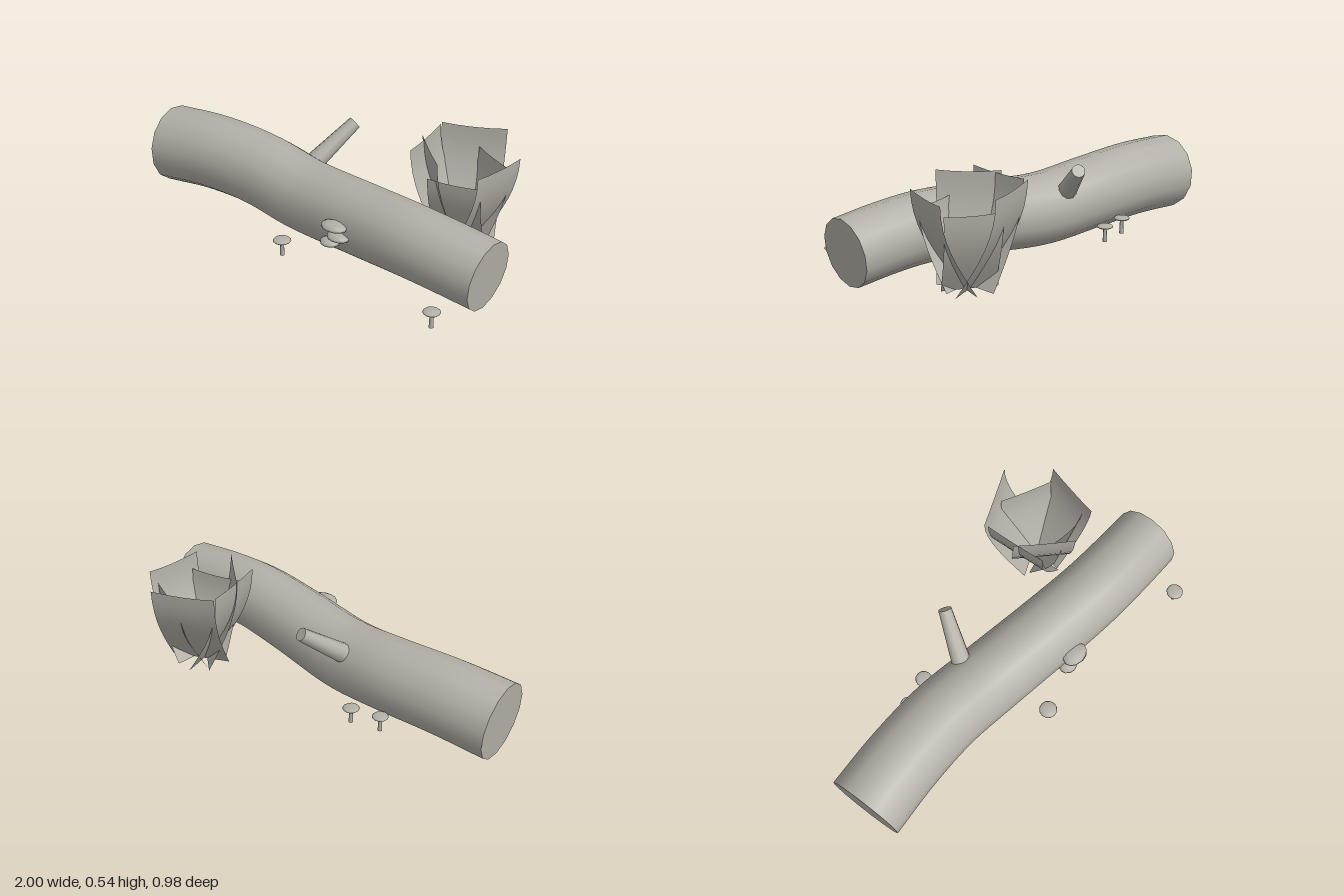
import * as THREE from 'three';

const grey = new THREE.MeshStandardMaterial({ color: 0xb4b0a7 });
grey.name = 'woodGrey';
const sheetGrey = new THREE.MeshStandardMaterial({ color: 0xb4b0a7, side: THREE.DoubleSide });
sheetGrey.name = 'sheetGrey';

const V = (x, y, z) => new THREE.Vector3(x, y, z);

function add(parent, name, geometry, material = grey) {
  const mesh = new THREE.Mesh(geometry, material);
  mesh.name = name;
  parent.add(mesh);
  return mesh;
}

// Flat fan closing one ring of the log
function capGeometry(ring, centre, flip) {
  const pos = [];
  for (let i = 0; i < ring.length - 1; i++) {
    const [a, b] = flip ? [ring[i + 1], ring[i]] : [ring[i], ring[i + 1]];
    pos.push(...centre.toArray(), ...a.toArray(), ...b.toArray());
  }
  const g = new THREE.BufferGeometry();
  g.setAttribute('position', new THREE.Float32BufferAttribute(pos, 3));
  g.computeVertexNormals();
  return g;
}

// Wavy tapered log with flat cut ends
function buildLog(parent) {
  const rows = 32, sides = 14, r0 = 0.192, r1 = 0.168;
  const curve = new THREE.CatmullRomCurve3([
    V(-0.975, 0.2, 0.135), V(-0.7, 0.22, 0.105), V(-0.4, 0.211, 0.09), V(-0.1, 0.184, 0.11),
    V(0.25, 0.205, 0.15), V(0.55, 0.22, 0.177), V(0.75, 0.212, 0.178), V(0.98, 0.19, 0.17),
  ]);
  const g = new THREE.TubeGeometry(curve, rows, 1, sides, false);
  const p = g.attributes.position, v = V(0, 0, 0), rings = [];
  for (let i = 0; i <= rows; i++) {
    const c = curve.getPointAt(i / rows), r = r0 + (r1 - r0) * i / rows, ring = [];
    for (let j = 0; j <= sides; j++) {
      const k = i * (sides + 1) + j;
      v.fromBufferAttribute(p, k).sub(c).multiplyScalar(r).add(c);
      p.setXYZ(k, v.x, v.y, v.z);
      ring.push(v.clone());
    }
    rings.push(ring);
  }
  add(parent, 'logBark', g);
  [0, rows].forEach((i) => {
    const c = curve.getPointAt(i / rows), t = curve.getTangentAt(i / rows);
    if (i === 0) t.negate();
    const [a, b] = rings[i];
    const turn = a.clone().sub(c).cross(b.clone().sub(c)).dot(t);
    add(parent, 'logCutEnd', capGeometry(rings[i], c, turn < 0));
  });
}

// Broken branch rising from the back of the log
function buildBranch(parent) {
  const a = V(-0.165, 0.3, -0.025), b = V(-0.073, 0.463, -0.215);
  const d = b.clone().sub(a);
  const m = add(parent, 'branchStub', new THREE.CylinderGeometry(0.033, 0.048, d.length(), 10));
  m.position.copy(a).add(b).multiplyScalar(0.5);
  m.quaternion.setFromUnitVectors(V(0, 1, 0), d.normalize());
}

// Upright leaf sheet, curving outward from the clump centre
function sheetGeometry(width, height, reach) {
  const g = new THREE.PlaneGeometry(width, 1, 4, 8);
  const p = g.attributes.position;
  for (let i = 0; i < p.count; i++) {
    const x = p.getX(i), t = p.getY(i) + 0.5, edge = Math.abs(x) / (width / 2);
    p.setXYZ(i, x * (0.93 + 0.07 * t), height * t - 0.008 * t * (1 - edge * edge),
      0.02 + (reach - 0.02) * Math.sin(t * Math.PI / 2));
  }
  g.computeVertexNormals();
  return g;
}

export function createModel() {
  const model = new THREE.Group();
  model.name = 'fallenLog';
  buildLog(model);
  buildBranch(model);

  // Shelf fungi on the front of the log
  [[0.247, 0.25, 0.34, 0.07, 0.05], [0.268, 0.2, 0.335, 0.06, 0.047], [0.215, 0.152, 0.33, 0.05, 0.046]]
    .forEach(([x, y, z, rx, rz]) => {
      const m = add(model, 'shelfFungus', new THREE.SphereGeometry(1, 12, 5));
      m.position.set(x, y, z);
      m.scale.set(rx, 0.019, rz);
    });

  // Small mushrooms around the log
  [[-0.01, 0.41, 0.044], [0.88, 0.45, 0.041], [-0.46, -0.1, 0.04], [-0.315, -0.138, 0.041]]
    .forEach(([x, z, r]) => {
      const mushroom = new THREE.Group();
      mushroom.name = 'mushroom';
      mushroom.position.set(x, 0, z);
      model.add(mushroom);
      add(mushroom, 'mushroomStem', new THREE.CylinderGeometry(0.008, 0.011, 0.08, 8)).position.y = 0.07;
      const cap = add(mushroom, 'mushroomCap', new THREE.SphereGeometry(r, 12, 6));
      cap.position.y = 0.11;
      cap.scale.y = 0.25;
    });

  // Clump of broad sheets: outward angle, width, height, reach
  const clump = new THREE.Group();
  clump.name = 'leafClump';
  clump.position.set(0.585, 0.047, -0.215);
  model.add(clump);
  [[8, 0.29, 0.46, 0.2], [244.5, 0.315, 0.495, 0.23], [171, 0.315, 0.495, 0.212],
    [131, 0.3, 0.498, 0.175], [75, 0.26, 0.385, 0.165], [293, 0.27, 0.4, 0.16]]
    .forEach(([angle, w, h, reach]) => {
      add(clump, 'leafSheet', sheetGeometry(w, h, reach), sheetGrey)
        .rotation.y = Math.PI / 2 - THREE.MathUtils.degToRad(angle);
    });

  return model;
}
